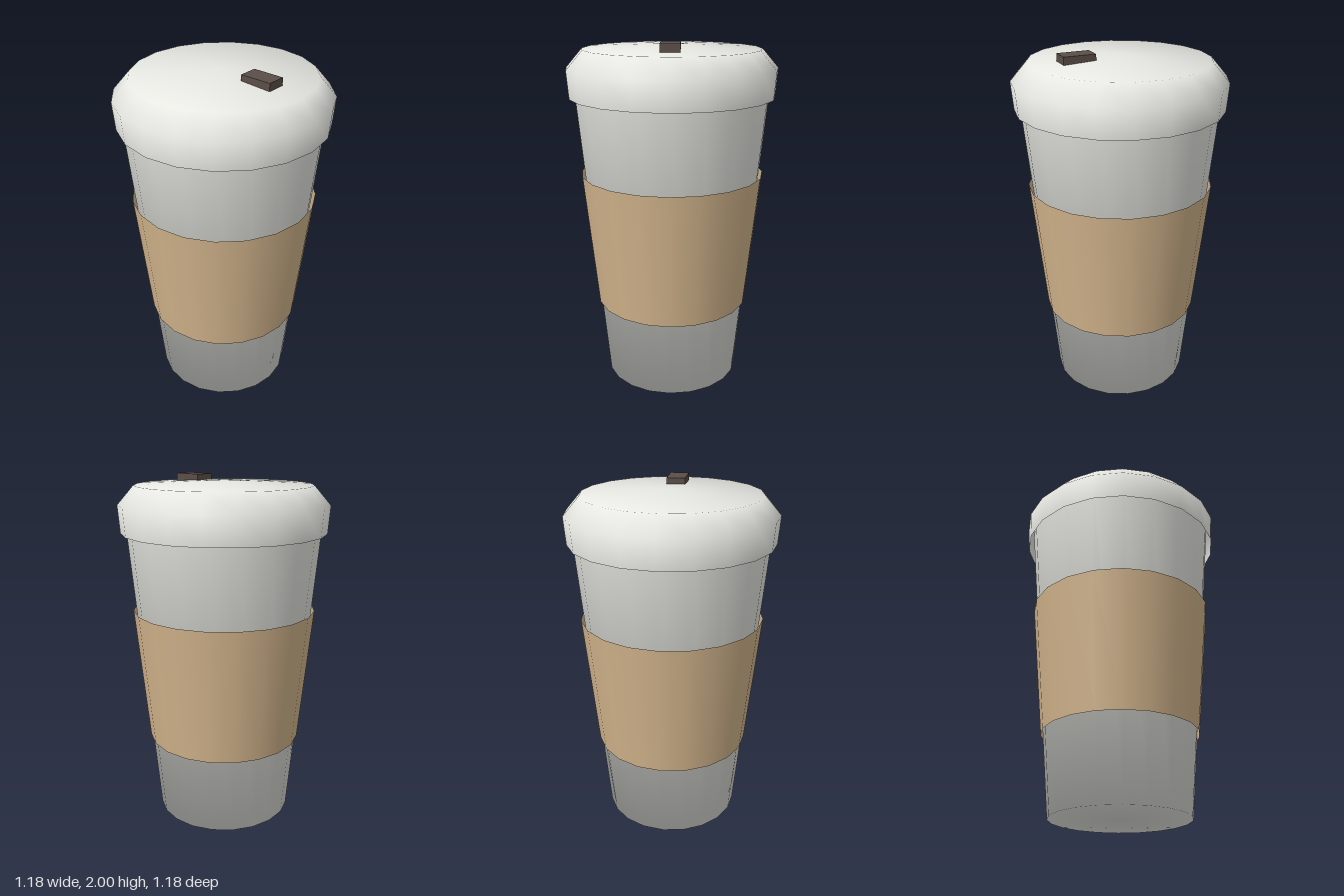
import * as THREE from 'three';

const SIDES = 20;

const material = (name, color) => {
  const m = new THREE.MeshStandardMaterial({ color, side: THREE.DoubleSide });
  m.name = name;
  return m;
};

// Revolves a profile of [radius, height], listed from the bottom up, and
// gives each ring the even average of its two neighbouring slopes as normal.
function revolve(name, profile, mat) {
  const points = profile.map(([r, y]) => new THREE.Vector2(r, y));
  const geometry = new THREE.LatheGeometry(points, SIDES);
  const slopes = points.slice(1).map((p, i) =>
    new THREE.Vector2(p.y - points[i].y, points[i].x - p.x).normalize());
  const count = points.length;
  const normal = geometry.attributes.normal;
  points.forEach((p, j) => {
    const n = slopes[Math.max(j - 1, 0)].clone()
      .add(slopes[Math.min(j, count - 2)]).normalize();
    if (p.x === 0) n.set(0, Math.sign(n.y)); // pole of the surface
    for (let i = 0; i <= SIDES; i++) {
      const a = (i / SIDES) * Math.PI * 2;
      normal.setXYZ(i * count + j, n.x * Math.sin(a), n.y, n.x * Math.cos(a));
    }
  });
  const mesh = new THREE.Mesh(geometry, mat);
  mesh.name = name;
  return mesh;
}

export function createModel() {
  const group = new THREE.Group();
  group.name = 'takeawayCup';

  const white = material('whitePaper', 0xf5f5f0);
  const tan = material('tanCardboard', 0xd2b48c);
  const brown = material('darkBrown', 0x5a4e47);

  // Tapered cup with a closed floor
  group.add(revolve('cupBody', [[0, 0], [0.393, 0], [0.556, 1.8]], white));

  // Cardboard sleeve, slightly wider than the cup
  group.add(revolve('sleeve', [[0.448, 0.465], [0.525, 1.25]], tan));

  // Lid with a bevelled shoulder and a shallow domed top
  group.add(revolve('lid',
    [[0.58, 1.69], [0.592, 1.845], [0.5, 1.95], [0, 1.975]], white));

  // Sip tab on the lid
  const tab = new THREE.Mesh(new THREE.BoxGeometry(0.18, 0.045, 0.105), brown);
  tab.name = 'sipTab';
  tab.position.set(0.25, 1.9775, 0);
  group.add(tab);

  return group;
}
